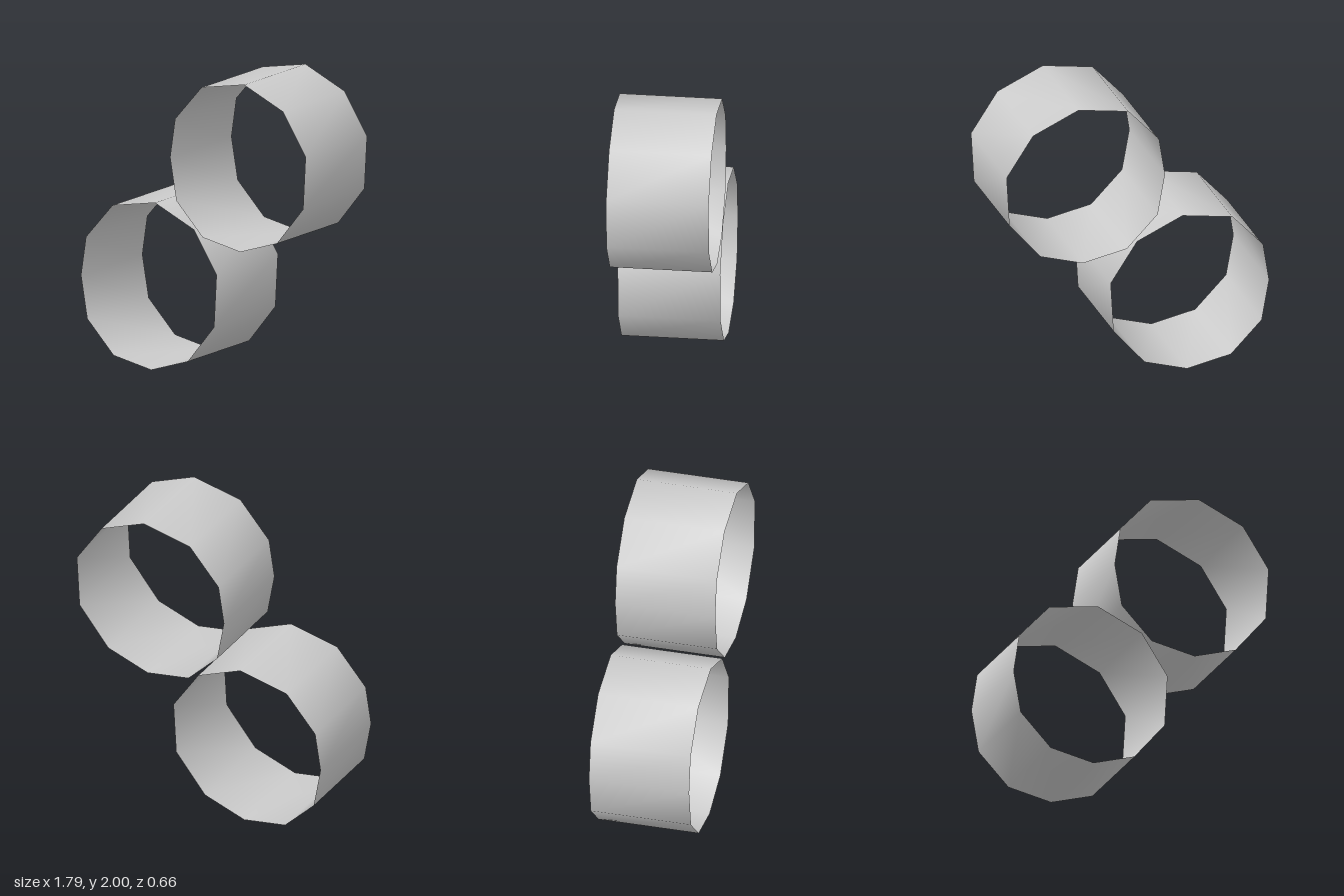
import * as THREE from 'three';

// Eleven-sided cross-section of a band, counter-clockwise seen from the front
const profile = [
  [-0.31, 1.11], [-0.65, 1.04], [-0.86, 0.8], [-0.9, 0.54], [-0.85, 0.26], [-0.64, 0.05],
  [-0.34, 0], [-0.05, 0.1], [0.16, 0.36], [0.18, 0.71], [0, 0.98],
];
const HALF_DEPTH = 0.33;

// Open-ended thin band with smooth normals
function bandGeometry() {
  const positions = [];
  const index = [];
  const n = profile.length;
  profile.forEach(([x, y], i) => {
    positions.push(x, y, HALF_DEPTH, x, y, -HALF_DEPTH);
    const a = 2 * i;
    const b = 2 * ((i + 1) % n);
    index.push(a, a + 1, b + 1, a, b + 1, b);
  });
  const geometry = new THREE.BufferGeometry();
  geometry.setAttribute('position', new THREE.Float32BufferAttribute(positions, 3));
  geometry.setIndex(index);
  geometry.computeVertexNormals();
  return geometry;
}

export function createModel() {
  const group = new THREE.Group();
  group.name = 'pairOfBands';
  const grey = new THREE.MeshStandardMaterial({ color: 0xcccccc });
  grey.name = 'light grey';
  grey.side = THREE.DoubleSide;

  const geometry = bandGeometry();
  // The same band twice, the upper one shifted diagonally
  for (const [name, x, y] of [['lowerBand', 0, 0], ['upperBand', 0.71, 0.89]]) {
    const band = new THREE.Mesh(geometry, grey);
    band.name = name;
    band.position.set(x, y, 0);
    group.add(band);
  }
  return group;
}
